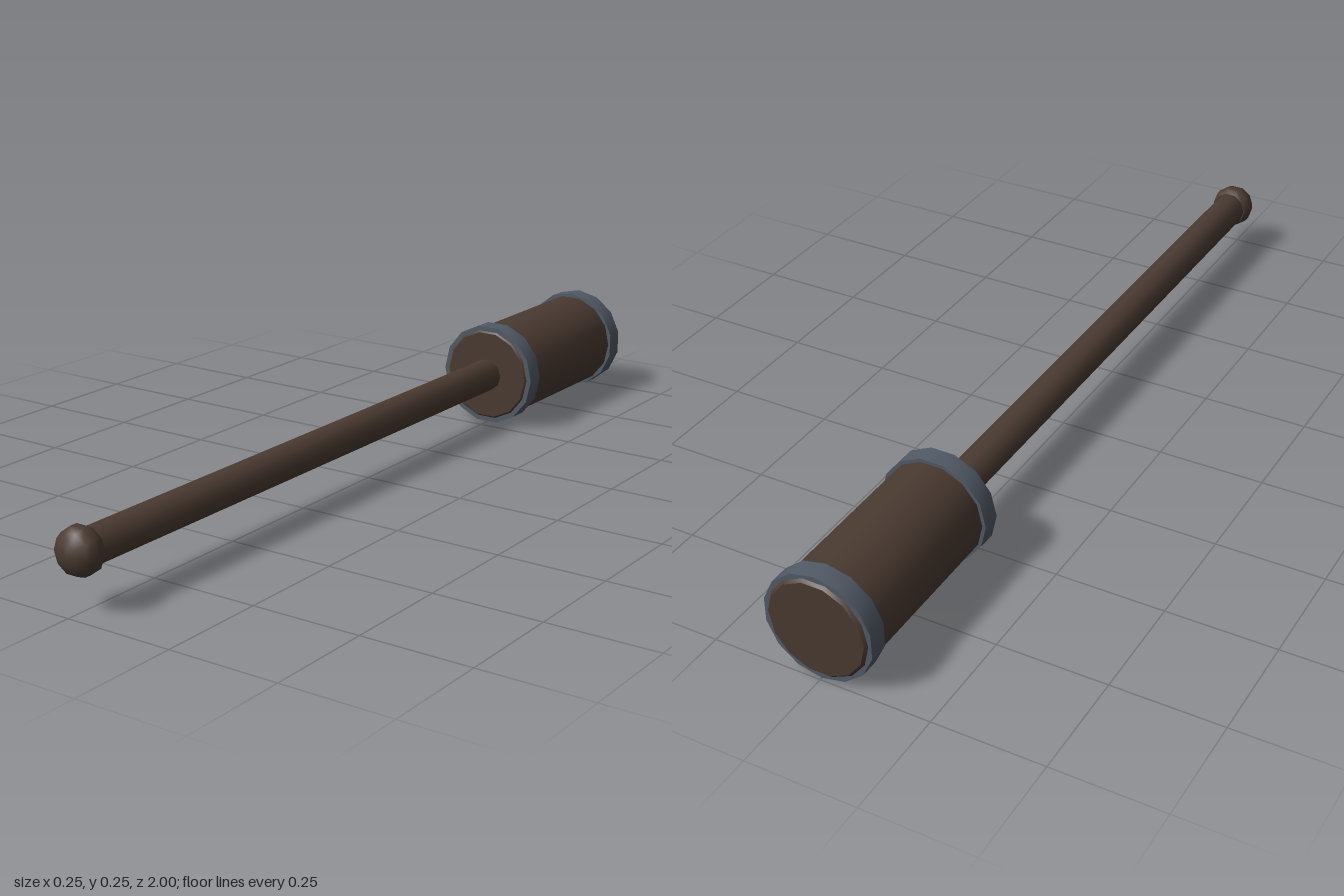
import * as THREE from 'three';
import { toCreasedNormals } from 'three/addons/utils/BufferGeometryUtils.js';

const AXIS_Y = 0.126;
const wood = new THREE.MeshStandardMaterial({ color: 0x4a3a31 });
wood.name = 'dark wood';
const steel = new THREE.MeshStandardMaterial({ color: 0x515a66 });
steel.name = 'dark steel';

// Turned part along z: profile points are [radius, z], from back to front.
function turned(name, profile, sides, material, phase = Math.PI / 2, crease = 0.68) {
  const points = profile.map(([r, z]) => new THREE.Vector2(r, z));
  let geometry = new THREE.LatheGeometry(points, sides, phase);
  geometry.scale(100, 100, 100); // keeps small bevels distinct while creasing
  geometry = toCreasedNormals(geometry, crease);
  geometry.scale(0.01, 0.01, 0.01);
  geometry.rotateX(Math.PI / 2);
  const mesh = new THREE.Mesh(geometry, material);
  mesh.name = name;
  mesh.position.y = AXIS_Y;
  return mesh;
}

// Band hugging the head between two z positions.
function band(name, back, front, phase) {
  const profile = [[0.11, back], [0.125, back], [0.125, front], [0.11, front]];
  return turned(name, profile, 14, steel, phase);
}

export function createModel() {
  const model = new THREE.Group();
  model.name = 'mallet';

  // Head with bevelled ends
  model.add(turned('head', [
    [0, -1], [0.109, -1], [0.117, -0.992],
    [0.117, -0.53], [0.109, -0.522], [0, -0.522],
  ], 14, wood));

  // Metal bands; the back one is turned by half a side
  model.add(band('frontBand', -0.571, -0.526, Math.PI / 2));
  model.add(band('backBand', -0.994, -0.949, 0));

  // Handle and its rounded end
  model.add(turned('handle', [[0.04, -0.54], [0.04, 0.95]], 10, wood));
  model.add(turned('handleKnob', [
    [0, 0.935], [0.043, 0.935], [0.052, 0.948], [0.052, 0.965],
    [0.044, 0.984], [0.024, 0.996], [0, 1],
  ], 10, wood, Math.PI / 2, 0.8));

  return model;
}
